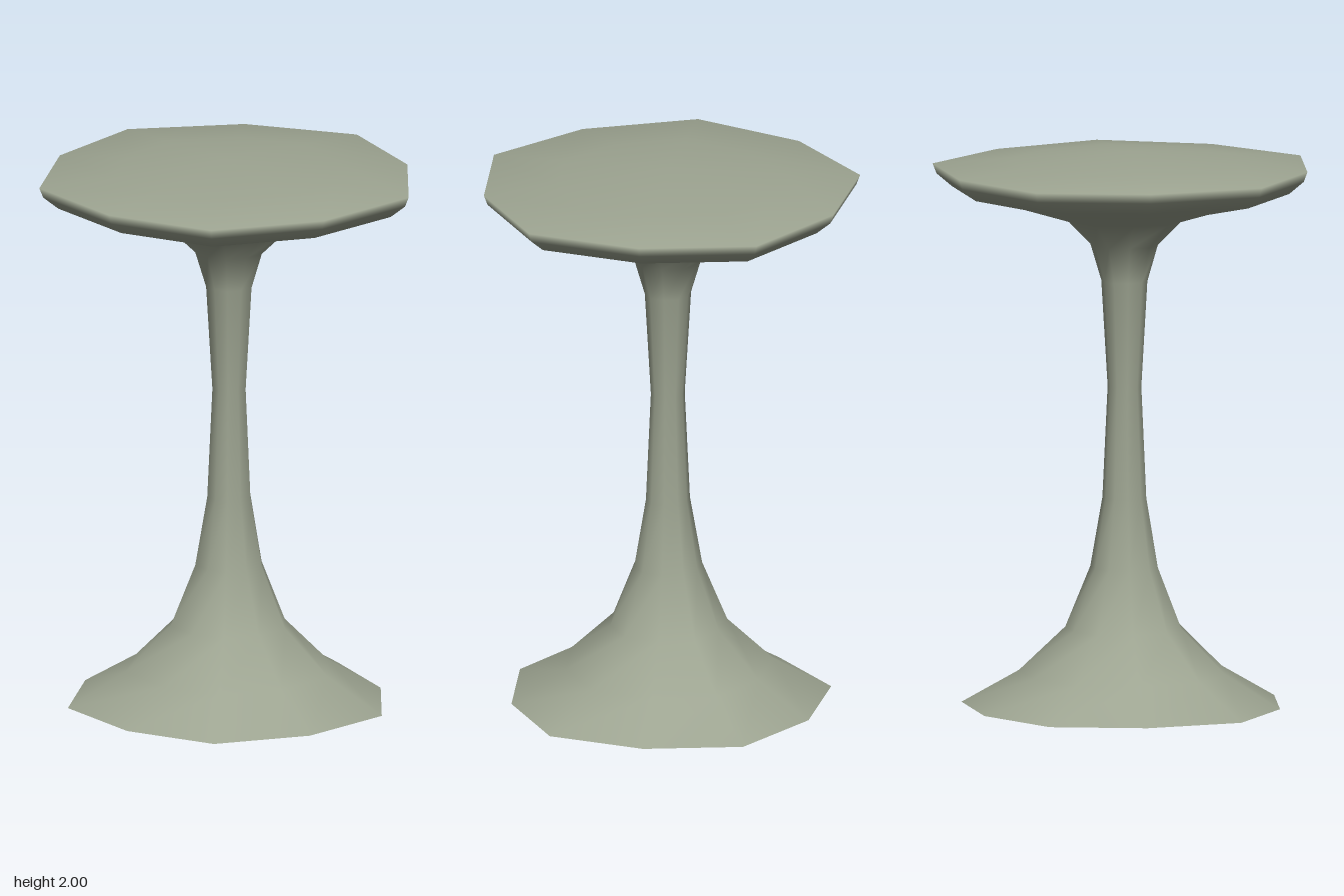
import * as THREE from 'three';

// Half of the ten-cornered rim, as [x, z]; the other half is mirrored in z
const HALF_RIM = [[0.67, 0], [0.58, 0.41], [0.22, 0.63], [-0.2, 0.66], [-0.51, 0.39], [-0.675, 0]];
const AXIS = 0.02; // x of the stem's axis

// Sections from floor to seat: [height, scale of the rim outline]
const SECTIONS = [
  [0, 0.85], [0.12, 0.55], [0.28, 0.31], [0.5, 0.18], // base
  [0.75, 0.117], [1.15, 0.09], [1.53, 0.123], [1.66, 0.18], // stem
  [1.75, 0.312], [1.81, 0.605], [1.855, 0.9], [1.9, 0.98], [1.935, 1], [1.961, 0.6], // seat
];

export function createModel() {
  const model = new THREE.Group();
  model.name = 'pedestalStool';
  const sage = new THREE.MeshStandardMaterial({ color: 0x9da491, side: THREE.DoubleSide });
  sage.name = 'sage green';

  const rim = [...HALF_RIM, ...HALF_RIM.slice(1, -1).reverse().map(([x, z]) => [x, -z])];
  const n = rim.length;

  // Skin of stacked rings, closed at the top by a shallow peak
  const positions = [];
  for (const [y, s] of SECTIONS) {
    for (const [x, z] of rim) positions.push(AXIS + (x - AXIS) * s, y, z * s);
  }
  const peak = positions.length / 3;
  positions.push(0, 2, 0);

  const index = [];
  for (let r = 0; r < SECTIONS.length; r++) {
    for (let i = 0; i < n; i++) {
      const a = r * n + i, b = r * n + (i + 1) % n;
      if (r < SECTIONS.length - 1) index.push(a, a + n, b, b, a + n, b + n);
      else index.push(a, peak, b);
    }
  }
  const skin = new THREE.BufferGeometry();
  skin.setAttribute('position', new THREE.Float32BufferAttribute(positions, 3));
  skin.setIndex(index);
  skin.computeVertexNormals();

  // Cut the skin into parts that keep the shared smooth normals
  const addPart = (name, fromRing, toRing) => {
    const geometry = skin.clone();
    geometry.setIndex(index.slice(fromRing * n * 6, toRing * n * 6));
    const mesh = new THREE.Mesh(geometry, sage);
    mesh.name = name;
    model.add(mesh);
  };
  addPart('flaredBase', 0, 3);
  addPart('stem', 3, 8);
  addPart('seat', 8, SECTIONS.length);

  return model;
}
